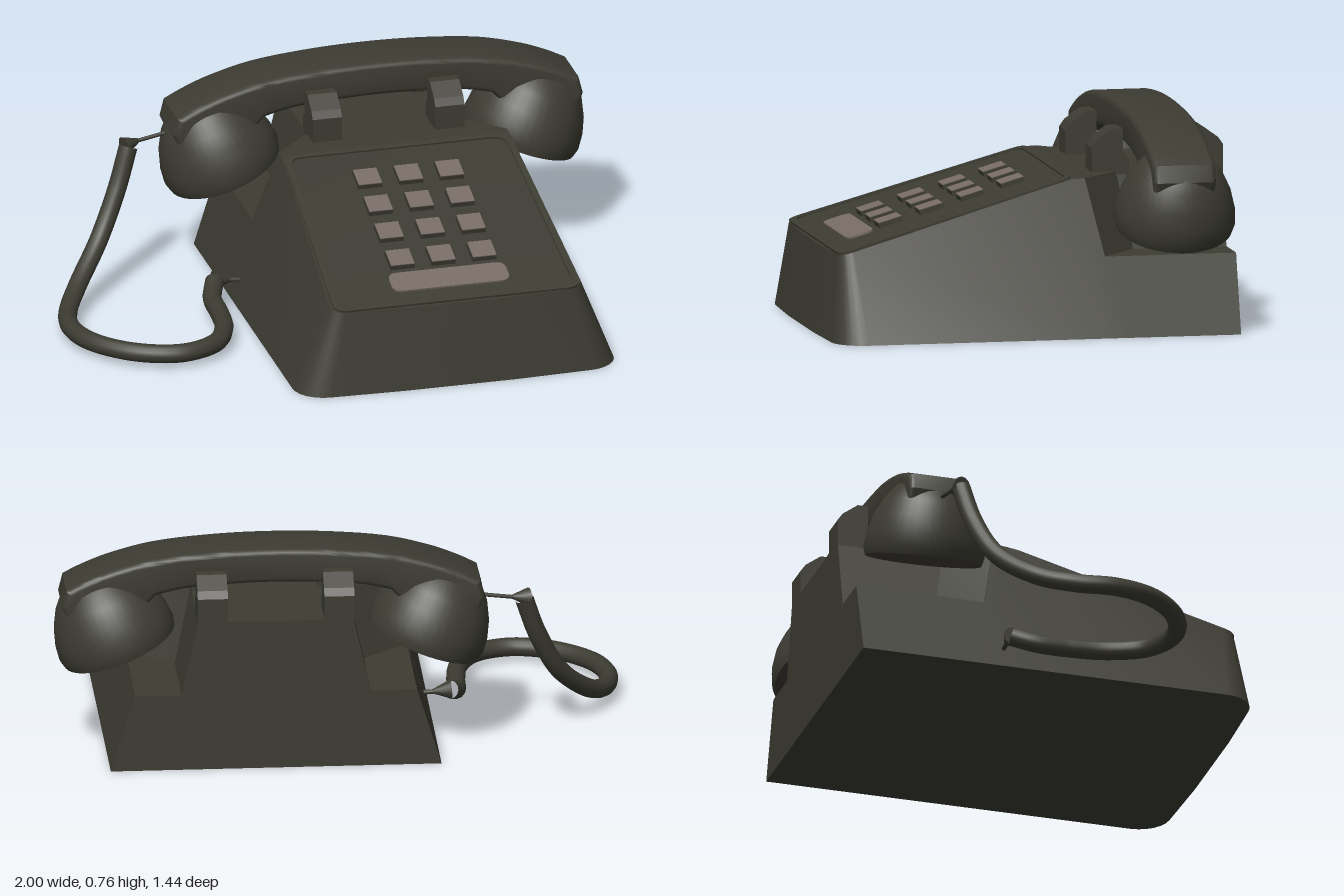
import * as THREE from 'three';
import { toCreasedNormals, mergeVertices } from 'three/addons/utils/BufferGeometryUtils.js';

const V3 = (x, y, z) => new THREE.Vector3(x, y, z);
const V2 = (x, y) => new THREE.Vector2(x, y);

// Loft of trapezoid sections, front to back.
// Row: [bottom half width, bottom y, bottom z, top half width, top y, top z]
function loft(rows) {
  const pos = [], idx = [];
  for (const [bw, by, bz, tw, ty, tz] of rows)
    pos.push(-bw, by, bz, -tw, ty, tz, tw, ty, tz, bw, by, bz);
  for (let i = 0; i < rows.length - 1; i++)
    for (let k = 0; k < 4; k++) {
      const a = i * 4 + k, b = i * 4 + (k + 1) % 4;
      idx.push(a, b, b + 4, a, b + 4, a + 4);
    }
  const e = (rows.length - 1) * 4;
  idx.push(0, 3, 2, 0, 2, 1, e, e + 1, e + 2, e, e + 2, e + 3);
  const g = new THREE.BufferGeometry();
  g.setAttribute('position', new THREE.Float32BufferAttribute(pos, 3));
  g.setIndex(idx);
  return toCreasedNormals(g, 0.5);
}

// Trapezoid outline with rounded corners
function roundTrapezoid(hwBottom, hwTop, yBottom, yTop, r) {
  const c = [V2(-hwBottom, yBottom), V2(hwBottom, yBottom), V2(hwTop, yTop), V2(-hwTop, yTop)];
  const s = new THREE.Shape();
  c.forEach((p, i) => {
    const toward = q => p.clone().add(q.clone().sub(p).setLength(r));
    const a = toward(c[(i + 3) % 4]), b = toward(c[(i + 1) % 4]);
    if (i === 0) s.moveTo(a.x, a.y); else s.lineTo(a.x, a.y);
    s.quadraticCurveTo(p.x, p.y, b.x, b.y);
  });
  s.closePath();
  return s;
}

export function createModel() {
  const root = new THREE.Group();
  const dark = new THREE.MeshStandardMaterial({ color: 0x3d3c33 });
  dark.name = 'dark olive plastic';
  const pale = new THREE.MeshStandardMaterial({ color: 0x786d65 });
  pale.name = 'taupe key tops';

  const add = (parent, name, geo, mat = dark) => {
    const m = new THREE.Mesh(geo, mat);
    m.name = name;
    parent.add(m);
    return m;
  };

  const phone = new THREE.Group();
  phone.name = 'telephone';
  phone.position.x = 0.24;
  root.add(phone);

  // Sloped front housing with rounded front corners
  const slopeY = z => 0.535 - (z + 0.15) * 0.289;
  const rows = [[0.2, 0, 0.72, 0.15, slopeY(0.68), 0.68]];
  for (let k = 0; k <= 6; k++) {
    const a = k * Math.PI / 12, s = Math.sin(a), c = Math.cos(a);
    const tz = 0.625 + 0.05 * c;
    rows.push([0.465 + 0.11 * s, 0, 0.6 + 0.11 * c, 0.4 + 0.05 * s, slopeY(tz), tz]);
  }
  rows.push([0.575, 0, -0.25, 0.41, 0.537, -0.15], [0.575, 0, -0.312, 0.41, 0.54, -0.2]);
  add(phone, 'frontHousing', loft(rows));

  // Low rear shelf and the narrower cradle block standing on it
  add(phone, 'rearBase', loft([
    [0.575, 0, -0.255, 0.49, 0.275, -0.255],
    [0.575, 0, -0.72, 0.49, 0.275, -0.72]]));
  add(phone, 'cradleBlock', loft([
    [0.485, 0.27, -0.255, 0.41, 0.54, -0.2],
    [0.33, 0.27, -0.39, 0.27, 0.54, -0.34],
    [0.33, 0.27, -0.72, 0.27, 0.54, -0.72]]));

  // Cradle prongs: two in front of and two behind the handset
  const prong = new THREE.Shape([
    V2(0.2325, 0.48), V2(0.2325, 0.625), V2(0.215, 0.65), V2(0.16, 0.69), V2(0.123, 0.69),
    V2(0.123, 0.61), V2(0.1, 0.58), V2(0.1, 0.48)]);
  const prongGeo = new THREE.ExtrudeGeometry(prong, { depth: 0.105, bevelEnabled: false });
  prongGeo.translate(0, 0, -0.0525);
  for (const x of [-0.22, 0.22])
    for (const side of [1, -1]) {
      const m = add(phone, side > 0 ? 'frontProng' : 'rearProng', prongGeo);
      m.position.set(x, 0, -0.4875);
      m.rotation.y = -side * Math.PI / 2;
    }

  // Sloped dial face: rim, keys and label plate
  const face = new THREE.Group();
  face.name = 'dialFace';
  const tilt = Math.atan(0.289);
  face.position.set(0, slopeY(0.265), 0.265);
  face.rotation.x = tilt - Math.PI / 2;
  phone.add(face);
  const upSlope = z => (0.265 - z) / Math.cos(tilt);
  const rim = roundTrapezoid(0.444, 0.406, -0.425, 0.442, 0.05);
  rim.holes.push(roundTrapezoid(0.422, 0.385, -0.4, 0.425, 0.045));
  add(face, 'faceRim', new THREE.ExtrudeGeometry(rim, { depth: 0.008, bevelEnabled: false, curveSegments: 6 }));
  const keyGeo = new THREE.BoxGeometry(0.086, 0.086, 0.018);
  const capGeo = new THREE.BoxGeometry(0.084, 0.084, 0.004);
  for (const z of [0.005, 0.148, 0.293, 0.438])
    for (const x of [-0.147, 0, 0.147]) {
      add(face, 'key', keyGeo).position.set(x, upSlope(z), 0.009);
      add(face, 'keyTop', capGeo, pale).position.set(x, upSlope(z), 0.0185);
    }
  const plate = roundTrapezoid(0.21, 0.21, -0.05, 0.05, 0.035);
  add(face, 'labelPlate', new THREE.ExtrudeGeometry(plate, { depth: 0.007, bevelEnabled: false, curveSegments: 6 }), pale)
    .position.y = upSlope(0.55);

  // Handset: arched handle plus two domed cups
  const handset = new THREE.Group();
  handset.name = 'handset';
  handset.position.z = -0.49;
  phone.add(handset);
  const mirrored = pts => [...pts, ...pts.slice().reverse().filter(p => p[0] !== 0).map(([x, y]) => [-x, y])];
  const vecs = pts => pts.map(p => V2(...p));
  const arch = new THREE.Shape();
  arch.moveTo(-0.72, 0.62);
  const top = mirrored([[-0.72, 0.62], [-0.65, 0.655], [-0.55, 0.693], [-0.4, 0.73], [-0.2, 0.75], [0, 0.756]]);
  arch.splineThru(vecs(top.slice(1)));
  for (const p of [[0.735, 0.56], [0.69, 0.46], [0.55, 0.46], [0.45, 0.55], [0.41, 0.597]]) arch.lineTo(...p);
  const under = mirrored([[0.41, 0.597], [0.3, 0.621], [0.15, 0.632], [0, 0.636]]);
  arch.splineThru(vecs(under.slice(1)));
  for (const p of [[-0.45, 0.55], [-0.55, 0.46], [-0.69, 0.46], [-0.735, 0.56]]) arch.lineTo(...p);
  arch.closePath();
  const handle = new THREE.ExtrudeGeometry(arch, {
    depth: 0.18, curveSegments: 4, bevelThickness: 0.02, bevelSize: 0.018, bevelOffset: -0.018, bevelSegments: 3 });
  handle.translate(0, 0, -0.09);
  add(handset, 'handle', toCreasedNormals(handle, 0.6));

  const dome = new THREE.LatheGeometry(vecs([
    [0, 0], [0.204, 0], [0.212, 0.03], [0.207, 0.08], [0.19, 0.14], [0.16, 0.2],
    [0.12, 0.25], [0.06, 0.285], [0, 0.295]]), 40);
  const domeGeo = toCreasedNormals(dome, 0.9);
  for (const side of [1, -1]) {
    const cup = add(handset, side > 0 ? 'leftCup' : 'rightCup', domeGeo);
    cup.position.set(side * 0.529, 0.385, 0);
    cup.rotation.z = -side * 0.367;
  }

  // Looping cord with thin plugs at both ends
  const cord = new THREE.CatmullRomCurve3([
    V3(-0.64, 0.51, -0.46), V3(-0.69, 0.365, -0.43), V3(-0.77, 0.21, -0.37), V3(-0.88, 0.095, -0.25),
    V3(-0.945, 0.055, -0.13), V3(-0.967, 0.05, 0), V3(-0.925, 0.05, 0.14), V3(-0.8, 0.05, 0.265),
    V3(-0.65, 0.05, 0.31), V3(-0.52, 0.05, 0.255), V3(-0.455, 0.05, 0.13), V3(-0.437, 0.05, 0),
    V3(-0.43, 0.055, -0.12), V3(-0.4, 0.083, -0.2)]);
  add(root, 'cord', new THREE.TubeGeometry(cord, 110, 0.033, 14));
  const rod = (name, a, b, ra, rb) => {
    const d = b.clone().sub(a);
    const m = add(root, name, new THREE.CylinderGeometry(rb, ra, d.length(), 14));
    m.position.copy(a).addScaledVector(d, 0.5);
    m.quaternion.setFromUnitVectors(V3(0, 1, 0), d.normalize());
  };
  rod('handsetCordEnd', V3(-0.655, 0.512, -0.46), V3(-0.6, 0.52, -0.478), 0.033, 0.008);
  rod('handsetWire', V3(-0.61, 0.518, -0.477), V3(-0.46, 0.54, -0.49), 0.007, 0.007);
  rod('baseCordEnd', V3(-0.405, 0.084, -0.2), V3(-0.345, 0.08, -0.205), 0.034, 0.009);
  rod('baseWire', V3(-0.36, 0.08, -0.205), V3(-0.28, 0.075, -0.205), 0.008, 0.008);

  return root;
}
